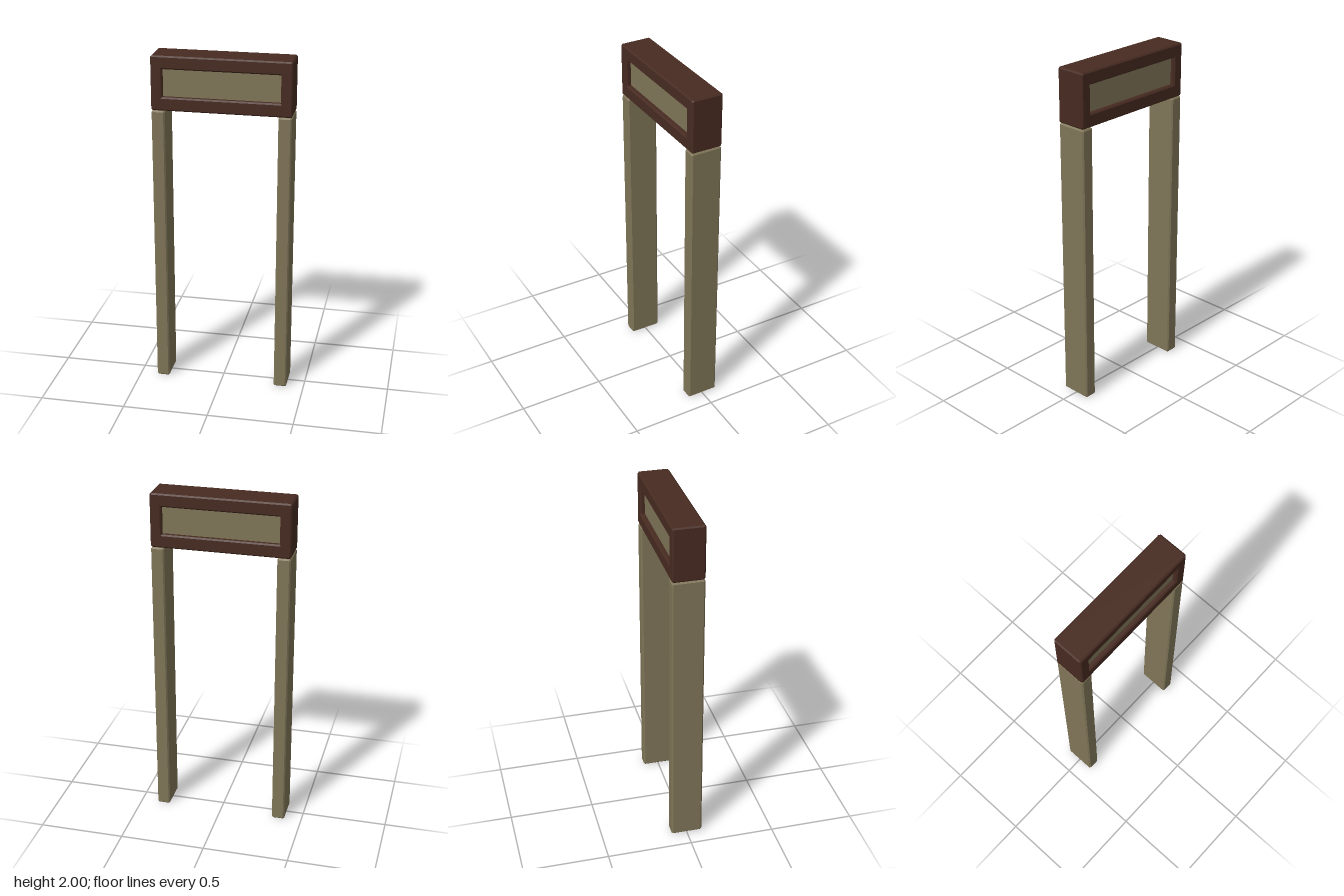
import * as THREE from 'three';

const CHAMFER = 0.008;

// Rectangle with cut corners, centred on (cx, cy)
function cutRect(Type, cx, cy, w, h, c) {
  const x = w / 2, y = h / 2;
  return new Type([
    [-x + c, -y], [x - c, -y], [x, -y + c], [x, y - c],
    [x - c, y], [-x + c, y], [-x, y - c], [-x, -y + c],
  ].map(([px, py]) => new THREE.Vector2(cx + px, cy + py)));
}

// Extrude along z with a one-step chamfer, centred on z = 0
function chamferedExtrude(shape, depth) {
  const geometry = new THREE.ExtrudeGeometry(shape, {
    depth: depth - 2 * CHAMFER, bevelEnabled: true, bevelSegments: 1,
    bevelSize: CHAMFER, bevelThickness: CHAMFER, bevelOffset: -CHAMFER,
  });
  return geometry.translate(0, 0, -depth / 2 + CHAMFER);
}

export function createModel() {
  const model = new THREE.Group();
  model.name = 'gateway';

  const paleWood = new THREE.MeshStandardMaterial({ color: 0x807558 });
  paleWood.name = 'pale wood';
  const darkWood = new THREE.MeshStandardMaterial({ color: 0x472b21 });
  darkWood.name = 'dark wood';

  const add = (name, geometry, material) => {
    const mesh = new THREE.Mesh(geometry, material);
    mesh.name = name;
    model.add(mesh);
  };

  // Two upright posts
  for (const side of [-1, 1]) {
    const outline = cutRect(THREE.Shape, side * 0.36, 0.842, 0.076, 1.684, CHAMFER);
    add(side > 0 ? 'leftPost' : 'rightPost', chamferedExtrude(outline, 0.184), paleWood);
  }

  // Header frame with a rectangular window through it
  const frame = cutRect(THREE.Shape, 0, 1.843, 0.798, 0.314, CHAMFER);
  frame.holes.push(new THREE.Path([
    [-0.334, 1.764], [-0.334, 1.924], [0.334, 1.924], [0.334, 1.764],
  ].map(([x, y]) => new THREE.Vector2(x, y))));
  add('headerFrame', chamferedExtrude(frame, 0.184), darkWood);

  // Recessed panel seen from front and back
  const panel = new THREE.BoxGeometry(0.72, 0.22, 0.13);
  panel.translate(0, 1.844, 0);
  add('headerPanel', panel, paleWood);

  return model;
}
